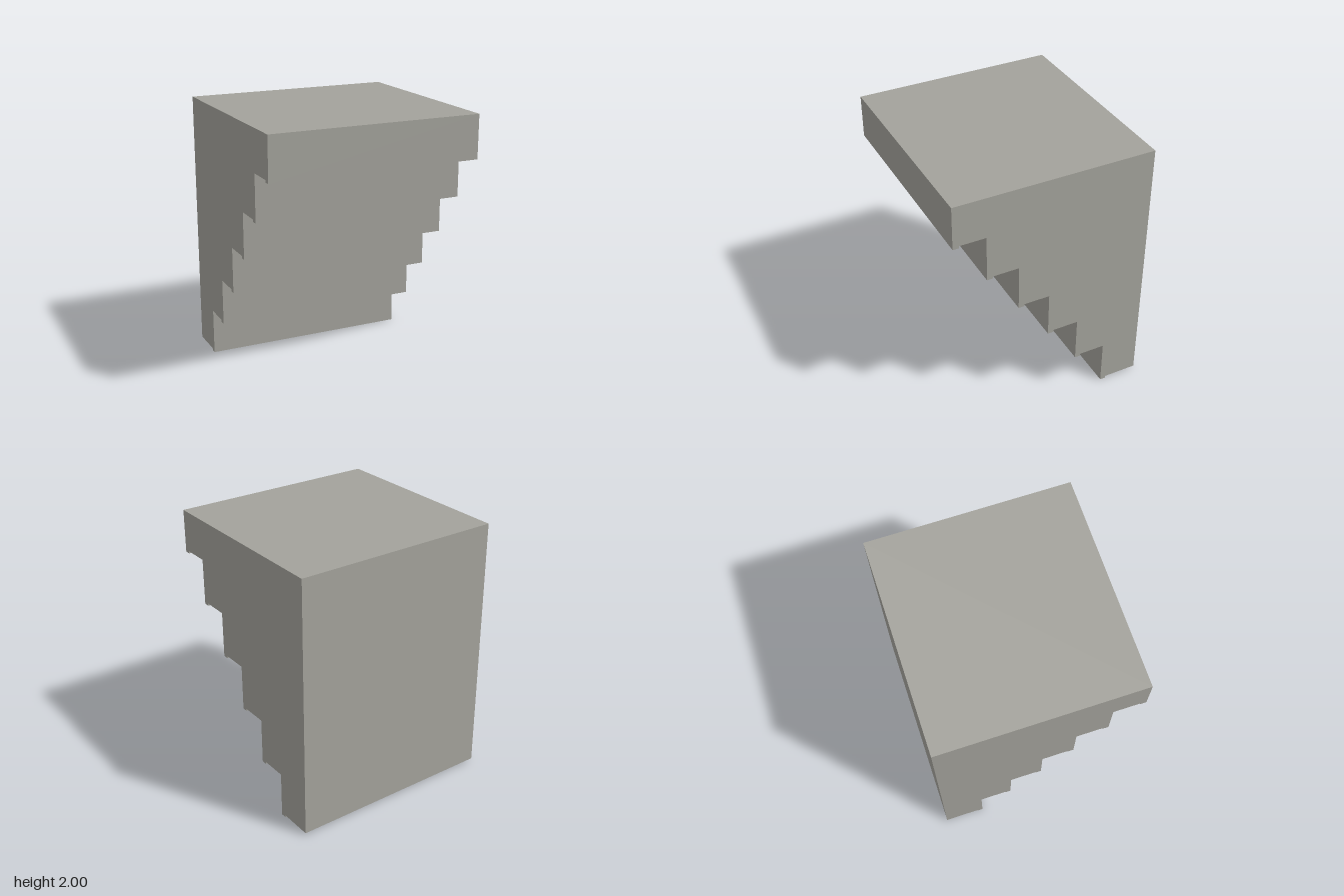
import * as THREE from 'three';

const WIDTH = 1.6, BACK = -0.756, FRONT = 0.756, HEIGHT = 2;
const STEPS = 6, RISE = 0.3345, RUN = 0.242;
const LIP_WIDTH = 0.044, LIP_DROP = 0.017;

export function createModel() {
  const group = new THREE.Group();
  group.name = 'steppedCorbel';

  const stone = new THREE.MeshStandardMaterial({ color: 0xa3a29b });
  stone.name = 'warm grey stone';

  // Side profile (x = depth, y = height): each course steps back and has a drip lip
  const profile = new THREE.Shape();
  profile.moveTo(BACK, HEIGHT);
  profile.lineTo(BACK, LIP_DROP);
  for (let i = 0; i < STEPS; i++) {
    const face = FRONT - (STEPS - 1 - i) * RUN;
    const bottom = i * RISE;
    profile.lineTo(face - LIP_WIDTH, bottom + LIP_DROP);
    profile.lineTo(face - LIP_WIDTH, bottom);
    profile.lineTo(face, bottom);
    const top = i < STEPS - 1 ? bottom + RISE + LIP_DROP : HEIGHT;
    profile.lineTo(face, top);
  }
  profile.closePath();

  // Extrude across the width, then turn the profile to face +z
  const geometry = new THREE.ExtrudeGeometry(profile, { depth: WIDTH, bevelEnabled: false });
  geometry.translate(0, 0, -WIDTH / 2);
  geometry.rotateY(-Math.PI / 2);

  const body = new THREE.Mesh(geometry, stone);
  body.name = 'steppedBody';
  group.add(body);
  return group;
}
